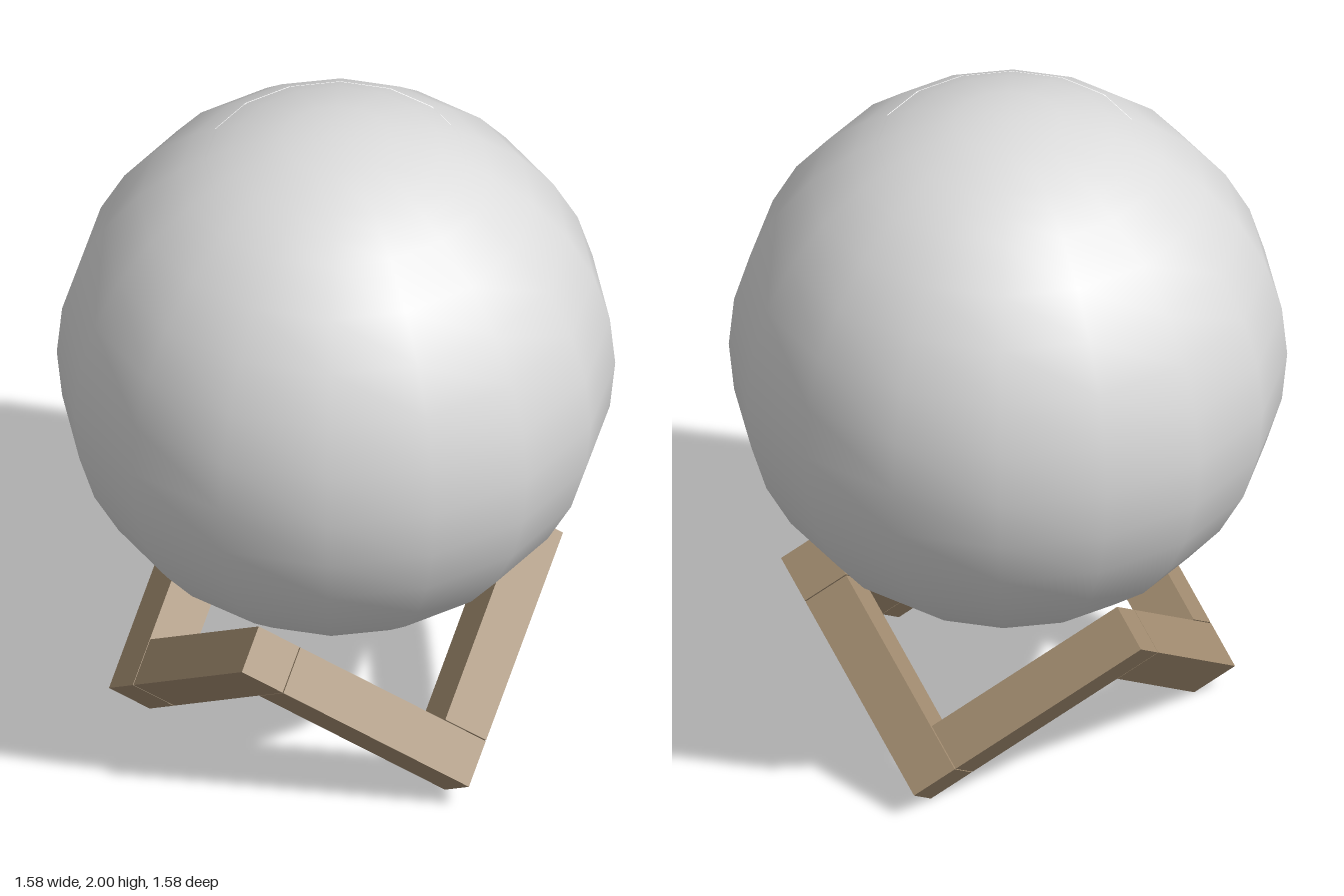
import * as THREE from 'three';

const SEGMENTS = 16, RADIUS = 0.79, CENTRE_Y = 1.21;

export function createModel() {
  const model = new THREE.Group();
  model.name = 'globeLampOnStand';
  const shell = new THREE.MeshStandardMaterial({ name: 'pale grey shell', color: 0xdcdcdc });
  const wood = new THREE.MeshStandardMaterial({ name: 'brown wood', color: 0xa38d71 });

  // Globe pieces: bands of one sphere, angles in degrees measured from the bottom pole
  function band(name, angles, sink = 0) {
    const points = angles.map((deg) => {
      const a = THREE.MathUtils.degToRad(deg);
      return new THREE.Vector2((RADIUS - sink) * Math.sin(a), -(RADIUS - sink) * Math.cos(a));
    });
    const geometry = new THREE.LatheGeometry(points, SEGMENTS);
    // Exact sphere normals keep the shading smooth across the seams
    const p = geometry.attributes.position, n = geometry.attributes.normal, v = new THREE.Vector3();
    for (let i = 0; i < p.count; i++) {
      v.fromBufferAttribute(p, i).normalize();
      n.setXYZ(i, v.x, v.y, v.z);
    }
    const mesh = new THREE.Mesh(geometry, shell);
    mesh.name = name;
    mesh.position.y = CENTRE_Y;
    model.add(mesh);
  }
  const step = 180 / SEGMENTS;
  const rings = Array.from({ length: 14 }, (_, i) => i * step);
  band('globe', [...rings, 151.8]);
  band('lidSeam', [151, 153], 0.006);
  band('lid', [152.3, 14 * step, 15 * step, 176]);
  band('buttonSeam', [175, 177.5], 0.006);
  band('button', [176.8, 178, 180]);

  // Stand: six bars following the zigzag edges of a cube balanced on its corner
  const SIZE = 0.79, BAR = 0.142, LENGTH = SIZE - BAR, GAP = 0.003;
  const stand = new THREE.Group();
  stand.name = 'stand';
  const axes = [180, 300, 60].map((deg) => {
    const a = THREE.MathUtils.degToRad(deg), r = Math.sqrt(2 / 3);
    return new THREE.Vector3(r * Math.sin(a), 1 / Math.sqrt(3), r * Math.cos(a));
  });
  stand.quaternion.setFromRotationMatrix(new THREE.Matrix4().makeBasis(...axes));
  stand.position.y = -LENGTH / Math.sqrt(3);
  for (let i = 0; i < 3; i++) {
    for (const turn of [1, 2]) {
      const along = (i + turn) % 3, across = (i + 3 - turn) % 3;
      const size = [BAR, BAR, BAR], centre = [0, 0, 0];
      size[along] = LENGTH - GAP;
      centre[i] = SIZE - BAR / 2;
      centre[across] = BAR / 2;
      // Each bar covers the joint at one end and butts against its neighbour at the other
      centre[along] = turn === 1 ? (SIZE + BAR + GAP) / 2 : (LENGTH - GAP) / 2;
      const bar = new THREE.Mesh(new THREE.BoxGeometry(...size), wood);
      bar.name = turn === 1 ? 'standBarUpper' : 'standBarLower';
      bar.position.set(...centre);
      stand.add(bar);
    }
  }
  model.add(stand);
  return model;
}
